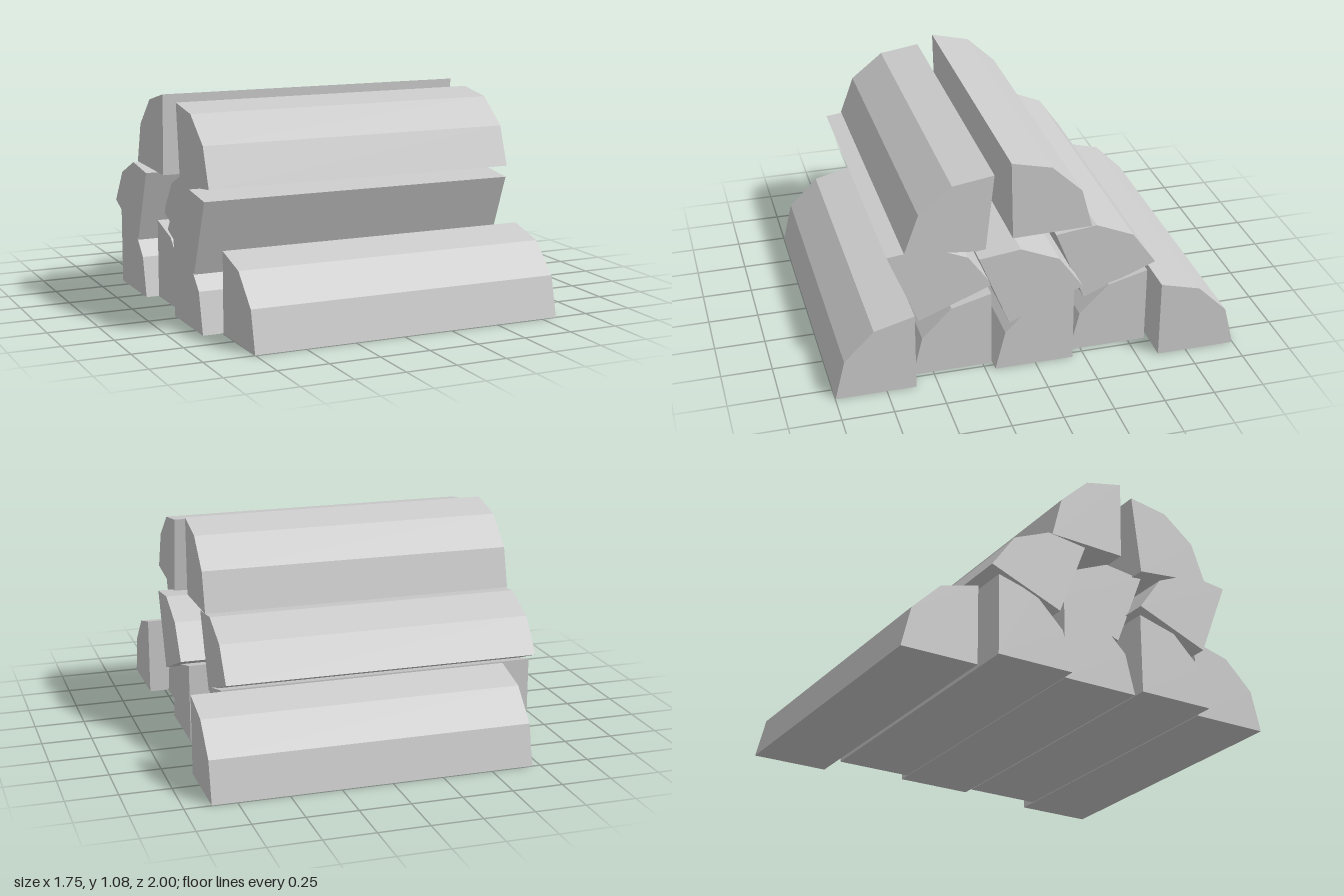
import * as THREE from 'three';

const LENGTH = 1.58;

// Quarter-round split log: right-angled corner at the origin, bark facing +z (side 1) or -z (side -1)
function logGeometry(side) {
  const shape = new THREE.Shape(
    [[0, 0], [0.392, 0], [0.343, 0.2], [0.197, 0.345], [0, 0.397]]
      .map(([z, y]) => new THREE.Vector2(z * side, y))
  );
  const geometry = new THREE.ExtrudeGeometry(shape, { depth: LENGTH, bevelEnabled: false });
  geometry.translate(0, 0, -LENGTH / 2);
  geometry.rotateY(-Math.PI / 2); // log runs along x
  return geometry;
}

export function createModel() {
  const pile = new THREE.Group();
  pile.name = 'logPile';
  const material = new THREE.MeshStandardMaterial({ color: 0xcccccc, flatShading: true });
  const frontBark = logGeometry(1);
  const backBark = logGeometry(-1);

  // Each log: [x centre, corner y, corner z, bark side, tilt in degrees]
  const rows = {
    bottomLog: [
      [0.04, 0, 0.606, 1, 0],
      [-0.06, 0, 0.208, 1, 0],
      [-0.005, 0, -0.19, 1, 0],
      [-0.07, 0, -0.586, 1, 0],
      [0.08, 0, -0.606, -1, 0],
    ],
    middleLog: [
      [-0.085, 0.287, 0.56, -1, 21.6],
      [0.04, 0.287, 0.147, -1, 21.6],
      [-0.085, 0.287, -0.266, -1, 21.6],
    ],
    topLog: [
      [-0.035, 0.652, 0.243, 1, -6.4],
      [-0.07, 0.68, 0.099, -1, 1.3],
    ],
  };

  for (const [name, logs] of Object.entries(rows)) {
    logs.forEach(([x, y, z, side, tilt], i) => {
      const log = new THREE.Mesh(side > 0 ? frontBark : backBark, material);
      log.name = name + (i + 1);
      log.position.set(x, y, z);
      log.rotation.x = THREE.MathUtils.degToRad(tilt);
      pile.add(log);
    });
  }
  return pile;
}
